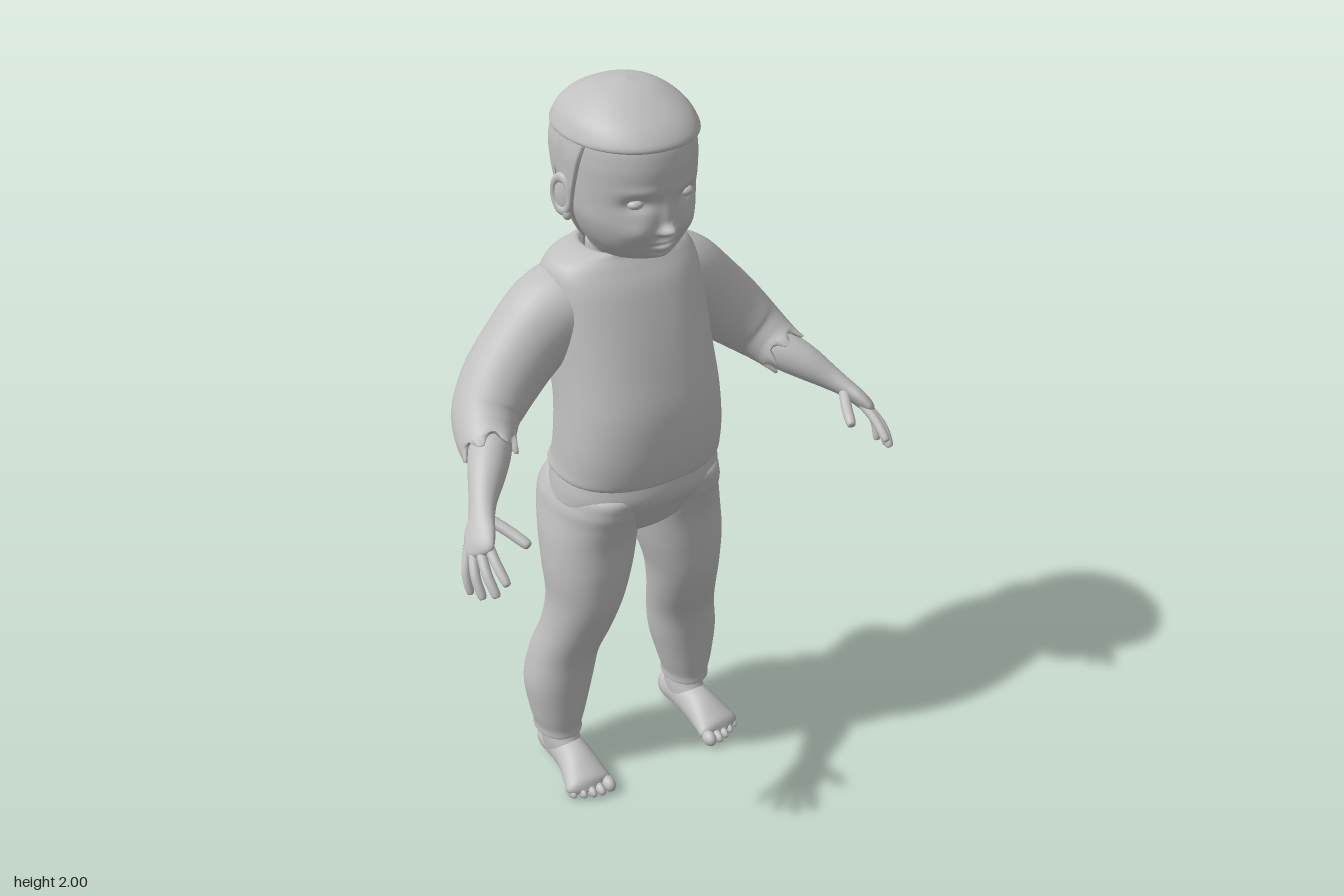
import * as THREE from 'three';

const grey = new THREE.MeshStandardMaterial({ color: 0xc0c0c0, side: THREE.DoubleSide });
grey.name = 'plain grey';
const V = (x, y, z) => new THREE.Vector3(x, y, z);
const spow = (v, p) => Math.sign(v) * Math.abs(v) ** p;

// Smoothly subdivides a table of key rows
function smooth(rows, sub) {
  const size = rows[0].length;
  const curve = new THREE.CubicInterpolant(rows.map((_, i) => i), rows.flat(), size, new Float32Array(size));
  const out = [];
  for (let i = 0; i <= (rows.length - 1) * sub; i++) out.push(Array.from(curve.evaluate(i / sub)));
  return out;
}

// Skins a list of rings; skip(point) leaves holes
function skin(rings, closed = true, skip = null) {
  const n = rings[0].length, pos = [], index = [];
  rings.forEach(r => r.forEach(p => pos.push(p.x, p.y, p.z)));
  for (let j = 0; j < rings.length - 1; j++) {
    for (let i = 0; i < (closed ? n : n - 1); i++) {
      if (skip && skip(rings[j][i])) continue;
      const k = (i + 1) % n, a = j * n + i, b = j * n + k, c = b + n, d = a + n;
      index.push(a, b, c, a, c, d);
    }
  }
  const g = new THREE.BufferGeometry();
  g.setAttribute('position', new THREE.Float32BufferAttribute(pos, 3));
  g.setIndex(index);
  g.computeVertexNormals();
  return g;
}

// Horizontal ring from a row [y, centre x, half width, front z, back z]
function ring([y, cx, rx, zf, zb], n, p, start = 0) {
  const cz = (zf + zb) / 2, rz = (zf - zb) / 2, span = 2 * Math.PI - 2 * start, pts = [];
  for (let i = 0; i < n; i++) {
    const t = start + span * i / (start ? n - 1 : n);
    pts.push(V(cx + rx * spow(Math.sin(t), p), y, cz + rz * spow(Math.cos(t), p)));
  }
  return pts;
}
const stack = (rows, sub = 6, p = 1, n = 48) => smooth(rows, sub).map(r => ring(r, n, p));

// Rings across a path of rows [x, y, z, radius along ref, radius across]
function limbRings(rows, ref = V(1, 1, 0), sub = 5, n = 28) {
  const s = smooth(rows, sub), pt = i => V(...s[Math.max(0, Math.min(s.length - 1, i))]);
  return s.map((r, j) => {
    const t = pt(j + 1).sub(pt(j - 1)).normalize();
    const u = ref.clone().addScaledVector(t, -ref.dot(t)).normalize();
    const v = t.clone().cross(u), pts = [];
    for (let i = 0; i < n; i++) {
      const a = 2 * Math.PI * i / n;
      pts.push(pt(j).addScaledVector(u, r[3] * Math.cos(a)).addScaledVector(v, r[4] * Math.sin(a)));
    }
    return pts;
  });
}
const limb = (...a) => skin(limbRings(...a));
const ball = (x, y, z, rx, ry, rz) => new THREE.SphereGeometry(1, 24, 16).scale(rx, ry, rz).translate(x, y, z);

function mirrored(g) {
  const m = g.clone().scale(-1, 1, 1), ix = m.index;
  for (let i = 0; i < ix.count; i += 3) {
    const a = ix.getX(i);
    ix.setX(i, ix.getX(i + 1));
    ix.setX(i + 1, a);
  }
  return m;
}

export function createModel() {
  const model = new THREE.Group();
  model.name = 'toddler';
  const add = (name, g) => {
    const m = new THREE.Mesh(g, grey);
    m.name = name;
    model.add(m);
  };
  const pair = (name, g) => {
    add(name + 'Left', g);
    add(name + 'Right', mirrored(g));
  };

  // Head: smooth skull with the face raised by soft bumps [x, y, height, width, tallness]
  const headRows = [
    [1.54, 0, .085, -.03, -.19], [1.58, 0, .085, -.015, -.19], [1.592, 0, .088, .035, -.19],
    [1.61, 0, .1, .068, -.195], [1.65, 0, .126, .088, -.205], [1.7, 0, .146, .098, -.23],
    [1.75, 0, .153, .1, -.257], [1.8, 0, .156, .106, -.275], [1.85, 0, .157, .106, -.277],
    [1.9, 0, .15, .09, -.26], [1.95, 0, .12, .04, -.22], [1.98, 0, .06, -.02, -.14], [1.985, 0, 0, -.08, -.08]];
  const bumps = [
    [0, 1.688, .03, .015, .014], [0, 1.725, .01, .013, .035], [.017, 1.683, .012, .009, .008],
    [.068, 1.757, -.016, .032, .018], [.065, 1.79, .004, .04, .012], [.072, 1.685, .012, .035, .03],
    [0, 1.656, .013, .028, .007], [0, 1.636, .012, .023, .007], [0, 1.646, -.006, .035, .003], [0, 1.612, .012, .03, .014]];
  const headRings = smooth(headRows, 10).map(r => ring(r, 112, .93));
  headRings.flat().forEach(p => {
    if (p.z < -.03) return;
    const fade = Math.min(1, (p.z + .03) / .06);
    let d = 0;
    for (const [x, y, h, w, t] of bumps)
      d += h * Math.exp(-(((Math.abs(p.x) - x) / w) ** 2) - ((p.y - y) / t) ** 2);
    p.z += d * fade;
  });
  add('head', skin(headRings));
  pair('eye', ball(.068, 1.757, .066, .021, .013, .019));

  // Hair: closed crown with a fringe edge, and a back shell open at the face and ears
  add('hairCrown', skin(stack([
    [1.888, 0, .145, .085, -.26], [1.889, 0, .163, .108, -.28], [1.905, 0, .161, .107, -.275],
    [1.935, 0, .146, .078, -.252], [1.965, 0, .114, .03, -.212], [1.988, 0, .068, -.02, -.155], [2, 0, 0, -.08, -.08]], 6, .95, 72)));
  const shell = smooth(headRows.slice(3, 10), 8).filter(r => r[0] < 1.893).map(([y, cx, rx, zf, zb]) => {
    const row = [y, cx, rx + .008, zf + .008, zb - .008], cz = (zf + zb) / 2, rz = (row[3] - row[4]) / 2;
    const edge = -.11 + .09 * (y - 1.61) / .28;
    const pts = ring(row, 90, .93, Math.acos(spow((edge - cz) / rz, 1 / .93)));
    const inner = p => V(p.x * .93, y, p.z);
    return [inner(pts[0]), ...pts, inner(pts[89])];
  });
  add('hairBack', skin(shell, false, p =>
    Math.abs(p.x) > .08 && ((p.z + .112) / .034) ** 2 + ((p.y - 1.78) / .09) ** 2 < 1));

  // Ears: rim, bowl and lobe
  const place = g => g.rotateY(Math.PI / 2 - .2).translate(.158, 1.735, -.112);
  pair('earRim', place(new THREE.TorusGeometry(.029, .009, 10, 28).scale(1, 1.45, 1)));
  pair('earBowl', place(new THREE.SphereGeometry(1, 20, 14).scale(.028, .04, .008)));
  pair('earLobe', ball(.153, 1.69, -.1, .011, .018, .016));

  // Shirt body with collar and turned-in hem
  add('shirt', skin(stack([
    [.995, 0, .2, .1, -.2], [.995, 0, .224, .122, -.231], [1.03, 0, .222, .134, -.215], [1.1, 0, .219, .141, -.204],
    [1.2, 0, .212, .136, -.212], [1.3, 0, .209, .11, -.245], [1.4, 0, .209, .077, -.268],
    [1.5, 0, .205, .036, -.262], [1.55, 0, .19, .004, -.238], [1.575, 0, .155, -.014, -.215],
    [1.588, 0, .108, -.018, -.203], [1.575, 0, .09, -.03, -.19]], 6, .86, 64)));

  // Sleeves with a ragged cuff
  const sleeve = limbRings([
    [.09, 1.46, -.13, .09, .09], [.14, 1.44, -.13, .108, .115], [.2, 1.41, -.132, .112, .11], [.27, 1.35, -.132, .103, .103],
    [.34, 1.28, -.123, .096, .1], [.395, 1.225, -.095, .083, .093], [.425, 1.192, -.05, .07, .08], [.44, 1.172, -.005, .062, .07]], V(1, 1, 0), 5, 36);
  const last = sleeve.at(-1), along = V(.3, -.25, .85);
  last.forEach((p, i) => p.addScaledVector(along, .02 * (i % 6 < 3 ? 1 : -.7) * (i % 3 ? 1 : .4)));
  const mid = V(.44, 1.172, -.005);
  sleeve.push(last.map(p => p.clone().lerp(mid, .12)), sleeve.at(-4).map(p => p.clone().lerp(mid, .3)));
  pair('sleeve', skin(sleeve));

  // Forearms, palms and fingers
  pair('forearm', limb([
    [.4, 1.21, -.07, .04, .045], [.435, 1.178, -.015, .052, .055], [.475, 1.15, .04, .046, .048],
    [.515, 1.118, .09, .033, .037], [.54, 1.097, .125, .025, .036], [.56, 1.077, .15, .022, .045],
    [.575, 1.058, .175, .019, .045], [.583, 1.045, .192, .012, .036], [.586, 1.04, .198, 0, 0]], V(1, .9, 0)));
  const fingers = {
    thumb: [[.53, 1.095, .14], [.502, 1.075, .19], [.482, 1.058, .235], .014],
    indexFinger: [[.558, 1.072, .17], [.566, 1.04, .23], [.565, 1.006, .278], .0125],
    middleFinger: [[.575, 1.058, .17], [.59, 1.015, .23], [.588, .975, .268], .0125],
    ringFinger: [[.586, 1.048, .16], [.607, 1, .205], [.607, .957, .235], .012],
    littleFinger: [[.592, 1.045, .145], [.614, .99, .172], [.614, .945, .188], .011]
  };
  for (const [name, [a, b, c, r]] of Object.entries(fingers)) {
    const tip = c.map((v, i) => v + (c[i] - b[i]) * .14);
    pair(name, limb([[...a, r, r], [...b, r, r], [...c, r * .85, r * .85], [...tip, 0, 0]], V(1, 1, 0), 5, 14));
  }

  // Trousers: hips and legs
  add('hips', skin(stack([
    [.76, 0, 0, -.06, -.07], [.785, 0, .05, 0, -.12], [.83, 0, .16, .055, -.175], [.9, 0, .222, .098, -.212],
    [.95, 0, .228, .122, -.222], [1.01, 0, .219, .115, -.222]], 6, .9)));
  pair('trouserLeg', skin(stack([
    [.14, .213, .035, -.07, -.16], [.125, .214, .061, -.043, -.192], [.15, .214, .064, -.043, -.19],
    [.2, .212, .077, -.037, -.198], [.3, .205, .095, -.028, -.212], [.4, .19, .095, -.015, -.2],
    [.5, .17, .095, .022, -.17], [.6, .155, .1, .055, -.163], [.7, .143, .117, .065, -.182],
    [.8, .13, .125, .068, -.215], [.87, .122, .12, .085, -.245], [.92, .118, .114, .1, -.238],
    [.97, .112, .09, .09, -.19], [1, .11, 0, -.05, -.06]], 6, .95)));

  // Feet: ankle, foot and toes
  pair('ankle', skin(stack([
    [.03, .208, .042, -.04, -.19], [.08, .209, .047, -.03, -.188], [.12, .21, .046, -.05, -.182], [.16, .21, .046, -.055, -.18]])));
  pair('foot', limb([
    [.206, .045, -.2, 0, 0], [.206, .045, -.192, .032, .028], [.206, .049, -.165, .047, .045], [.207, .056, -.1, .054, .046],
    [.21, .053, -.03, .051, .052], [.216, .037, .03, .036, .062], [.219, .026, .06, .024, .061], [.22, .022, .078, 0, 0]], V(0, 1, 0)));
  for (let i = 0; i < 5; i++) {
    const r = i ? .0135 - i * .0006 : .018;
    pair('toe' + (i + 1), ball(i ? .174 + i * .024 : .17, r + .006, .078 - i * i * .0022, r, r + .004, .026));
  }
  return model;
}
